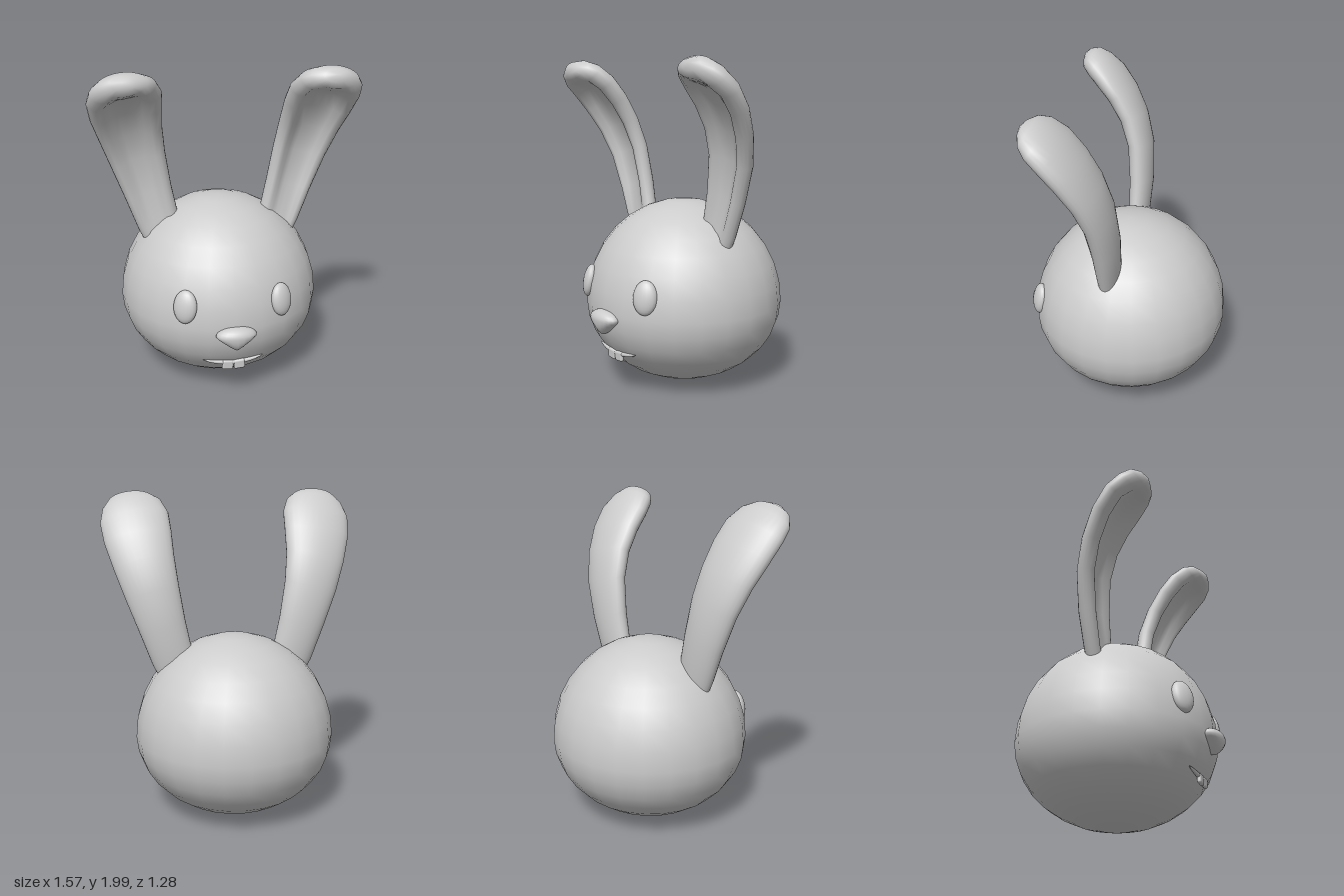
import * as THREE from 'three';
import { mergeVertices } from 'three/addons/utils/BufferGeometryUtils.js';
import { RoundedBoxGeometry } from 'three/addons/geometries/RoundedBoxGeometry.js';

const material = new THREE.MeshStandardMaterial({ color: 0xcccccc });

// Head: wide ellipsoid, flatter below its equator than above
const HEAD = { y: 0.51, z: -0.03, rx: 0.62, up: 0.635, down: 0.5, rz: 0.608 };

function headZ(x, y) {
  const dy = (y - HEAD.y) / (y > HEAD.y ? HEAD.up : HEAD.down);
  return HEAD.z + HEAD.rz * Math.sqrt(Math.max(0, 1 - (x / HEAD.rx) ** 2 - dy * dy));
}

function addMesh(parent, name, geometry) {
  const mesh = new THREE.Mesh(geometry, material);
  mesh.name = name;
  parent.add(mesh);
  return mesh;
}

// Unit sphere whose vertices are moved by a rule, with seamless smooth normals
function shapedSphere(w, h, rule) {
  let geo = new THREE.SphereGeometry(1, w, h);
  geo.deleteAttribute('uv');
  geo.deleteAttribute('normal');
  geo = mergeVertices(geo, 1e-4);
  const p = geo.attributes.position;
  const v = new THREE.Vector3();
  for (let i = 0; i < p.count; i++) {
    rule(v.fromBufferAttribute(p, i));
    p.setXYZ(i, v.x, v.y, v.z);
  }
  geo.computeVertexNormals();
  return geo;
}

// Ear sections: x, y, z, half width, half thickness, groove depth
const EAR = [
  [0.30, 0.80, 0.015, 0.115, 0.06, 0.2],
  [0.38, 1.00, 0.01, 0.13, 0.07, 0.5],
  [0.437, 1.20, 0.01, 0.145, 0.08, 0.8],
  [0.495, 1.42, 0.03, 0.168, 0.083, 0.9],
  [0.535, 1.59, 0.085, 0.188, 0.087, 0.9],
  [0.562, 1.73, 0.165, 0.208, 0.09, 0.9],
  [0.575, 1.835, 0.25, 0.212, 0.092, 0.8],
  [0.585, 1.90, 0.325, 0.185, 0.088, 0.35],
  [0.59, 1.935, 0.375, 0.14, 0.07, 0],
  [0.59, 1.95, 0.405, 0.07, 0.04, 0],
];

function earGeometry(side) {
  const seg = 28, pos = [], idx = [];
  const at = (i) => new THREE.Vector3(...EAR[THREE.MathUtils.clamp(i, 0, EAR.length - 1)].slice(0, 3));
  EAR.forEach(([, , , hw, ht, groove], i) => {
    const T = at(i + 1).sub(at(i - 1)).normalize();
    const W = new THREE.Vector3(T.y, -T.x, 0).normalize();
    const N = W.clone().cross(T);
    for (let j = 0; j < seg; j++) {
      const a = (j / seg) * Math.PI * 2;
      const u = Math.cos(a);
      let v = Math.sin(a);
      // hollow out the front between two rounded rims
      if (v > 0) v -= groove * (1 - THREE.MathUtils.smoothstep(Math.abs(u), 0.25, 0.78));
      const q = at(i).addScaledVector(W, u * hw).addScaledVector(N, v * ht);
      pos.push(q.x * side, q.y, q.z);
    }
  });
  const tri = (a, b, c) => (side > 0 ? idx.push(a, b, c) : idx.push(a, c, b));
  const last = (EAR.length - 1) * seg;
  const tip = pos.length / 3;
  pos.push(0.59 * side, 1.957, 0.42);
  for (let j = 0; j < seg; j++) {
    const k = (j + 1) % seg;
    for (let r = 0; r < last; r += seg) {
      tri(r + j, r + seg + j, r + seg + k);
      tri(r + j, r + seg + k, r + k);
    }
    tri(last + j, tip, last + k);
  }
  const geo = new THREE.BufferGeometry();
  geo.setAttribute('position', new THREE.Float32BufferAttribute(pos, 3));
  geo.setIndex(idx);
  geo.computeVertexNormals();
  return geo;
}

export function createModel() {
  const model = new THREE.Group();
  model.name = 'rabbitHead';

  addMesh(model, 'head', shapedSphere(24, 16, (v) => v.set(
    v.x * HEAD.rx,
    HEAD.y + v.y * (v.y > 0 ? HEAD.up : HEAD.down),
    HEAD.z + v.z * HEAD.rz)));

  // Nose: rounded triangle, broad near the top and pointed below
  const nose = addMesh(model, 'nose', shapedSphere(20, 14, (v) => {
    const narrow = v.y < 0 ? 1 + 0.35 * v.y : 1;
    v.set(v.x * 0.122 * narrow, v.y * (v.y > 0 ? 0.055 : 0.095 - 0.035 * Math.abs(v.x)), v.z * 0.065);
  }));
  nose.position.set(0, 0.477, 0.573);

  for (const side of [1, -1]) {
    const prefix = side > 0 ? 'left' : 'right';
    addMesh(model, prefix + 'Ear', earGeometry(side));

    // Eye: upright oval lying on the head surface
    const eye = addMesh(model, prefix + 'Eye', new THREE.SphereGeometry(1, 20, 14));
    eye.scale.set(0.073, 0.101, 0.042);
    eye.position.set(side * 0.287, 0.645, 0.488);
    eye.rotation.set(-0.18, side * 0.56, 0, 'YXZ');

    // Front tooth
    const tooth = addMesh(model, prefix + 'Tooth', new RoundedBoxGeometry(0.068, 0.06, 0.025, 3, 0.012));
    tooth.position.set(side * 0.035, 0.238, 0.497);
    tooth.rotation.z = side * 0.08;
  }

  // Mouth: thin smile following the head surface, tapered at both ends
  const points = [];
  for (let i = -6; i <= 6; i++) {
    const x = (i / 6) * 0.185;
    const y = 0.252 + 0.024 * (i / 6) ** 2;
    points.push(new THREE.Vector3(x, y, headZ(x, y) + 0.004));
  }
  const curve = new THREE.CatmullRomCurve3(points);
  const mouth = new THREE.TubeGeometry(curve, 30, 0.014, 8);
  const p = mouth.attributes.position;
  const v = new THREE.Vector3();
  for (let i = 0; i < p.count; i++) {
    const t = Math.floor(i / 9) / 30;
    const c = curve.getPointAt(t);
    v.fromBufferAttribute(p, i).sub(c).multiplyScalar(Math.sqrt(Math.sin(Math.PI * t) + 1e-4)).add(c);
    p.setXYZ(i, v.x, v.y, v.z);
  }
  addMesh(model, 'mouth', mouth);

  return model;
}
